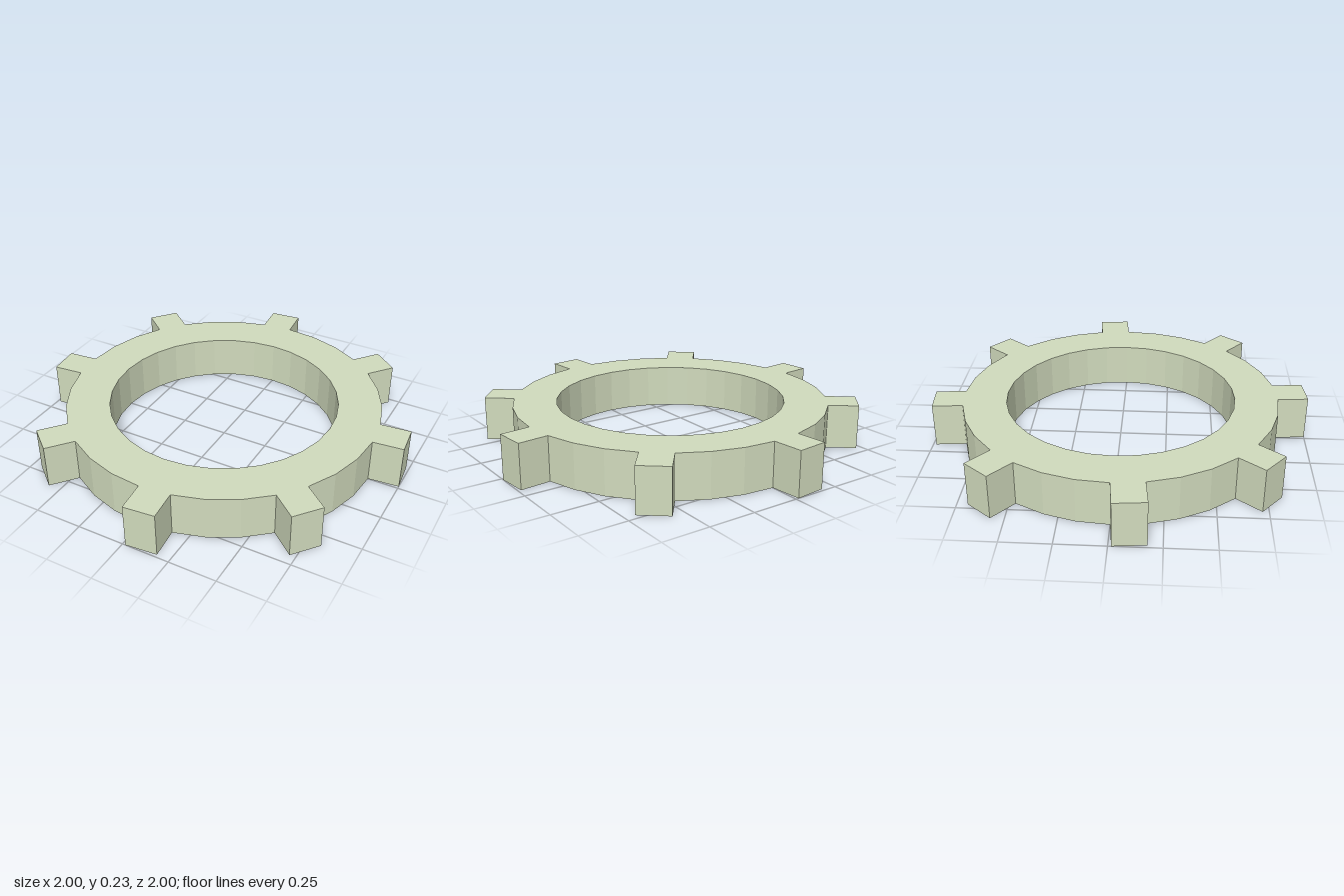
import * as THREE from 'three';

const SIDES = 32;      // facets around the ring
const OUTER = 0.84;    // rim radius
const INNER = 0.61;    // bore radius
const TOOTH = 0.161;   // tooth length
const HEIGHT = 0.235;
const STEP = (Math.PI * 2) / SIDES;

const polar = (r, i) => new THREE.Vector2(r * Math.cos(i * STEP), r * Math.sin(i * STEP));

export function createModel() {
  const group = new THREE.Group();
  group.name = 'gear';

  // Rim outline: every fourth facet is pushed straight out into a tooth
  const outline = [];
  for (let i = 0; i < SIDES; i++) {
    outline.push(polar(OUTER, i));
    if (i % 4 === 0) {
      const out = polar(TOOTH, i + 0.5);
      outline.push(polar(OUTER, i).add(out), polar(OUTER, i + 1).add(out));
    }
  }
  const shape = new THREE.Shape(outline);

  // Round bore through the middle
  const bore = [];
  for (let i = 0; i < SIDES; i++) bore.push(polar(INNER, -i));
  shape.holes.push(new THREE.Path(bore));

  // Lay the extruded ring flat on the ground
  const geometry = new THREE.ExtrudeGeometry(shape, { depth: HEIGHT, bevelEnabled: false });
  geometry.rotateX(-Math.PI / 2);

  const ring = new THREE.Mesh(
    geometry,
    new THREE.MeshStandardMaterial({ color: 0xd1dbbd, flatShading: true })
  );
  ring.name = 'toothedRing';
  group.add(ring);
  return group;
}
